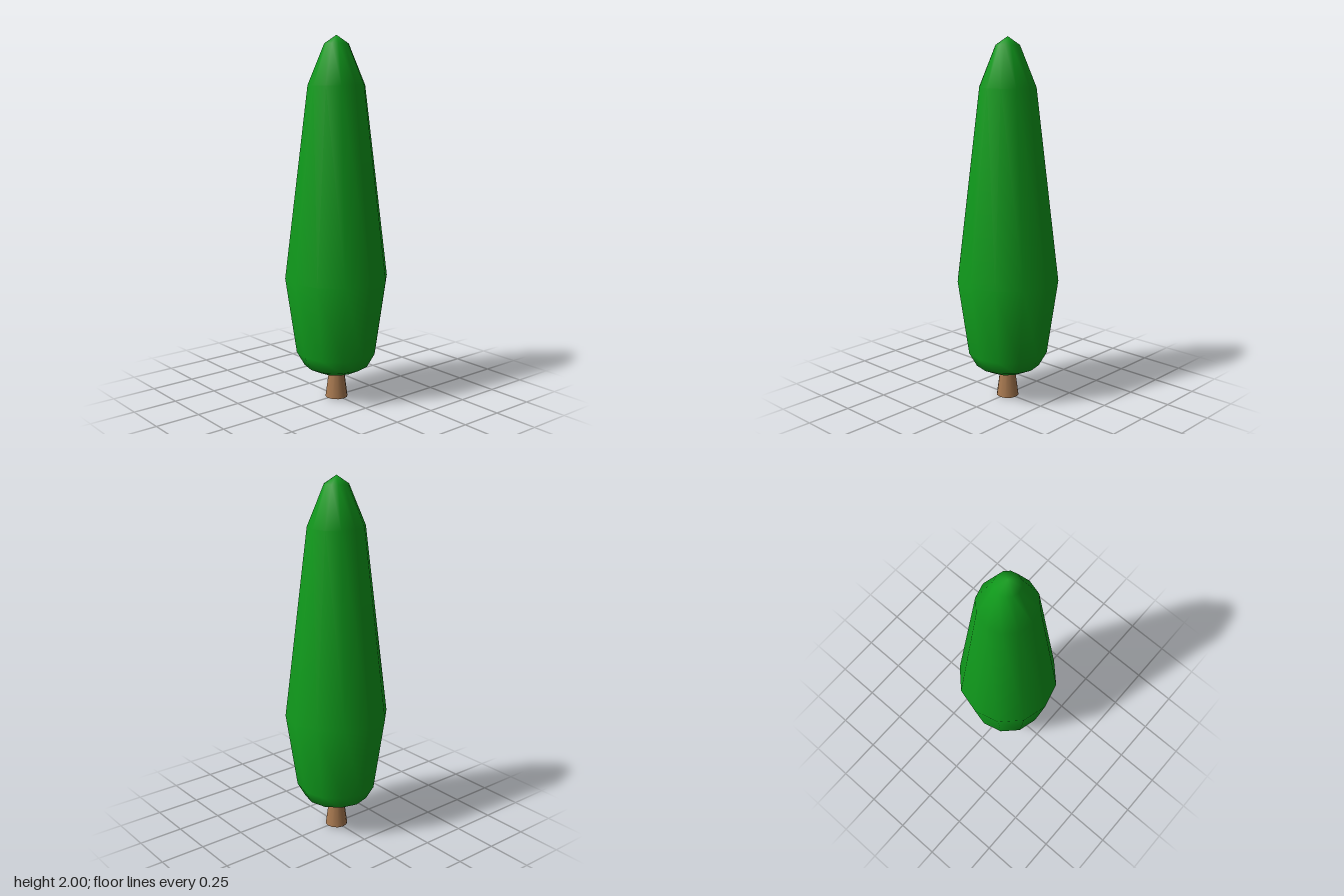
import * as THREE from 'three';
import { mergeVertices } from 'three/addons/utils/BufferGeometryUtils.js';

const SIDES = 12;

// Lathe with shared vertices, so the seam and poles shade smoothly
function smoothLathe(profile) {
  const geometry = new THREE.LatheGeometry(profile.map(([r, y]) => new THREE.Vector2(r, y)), SIDES);
  geometry.deleteAttribute('uv');
  geometry.deleteAttribute('normal');
  const merged = mergeVertices(geometry, 1e-4);
  merged.computeVertexNormals();
  return merged;
}

export function createModel() {
  const tree = new THREE.Group();
  tree.name = 'tree';

  // Tall foliage, hollowed slightly around the trunk
  const foliage = new THREE.Mesh(
    smoothLathe([
      [0, 0.2], [0.04, 0.19], [0.11, 0.155], [0.18, 0.19], [0.224, 0.268],
      [0.285, 0.69], [0.156, 1.737], [0.066, 1.955], [0, 2],
    ]),
    new THREE.MeshStandardMaterial({ color: 0x109c1c })
  );
  foliage.name = 'foliage';
  tree.add(foliage);

  // Tapered trunk, running up into the foliage
  const trunkHeight = 0.21;
  const trunk = new THREE.Mesh(
    new THREE.CylinderGeometry(0.035, 0.063, trunkHeight, SIDES),
    new THREE.MeshStandardMaterial({ color: 0xa87950 })
  );
  trunk.name = 'trunk';
  trunk.position.y = trunkHeight / 2;
  tree.add(trunk);

  return tree;
}
